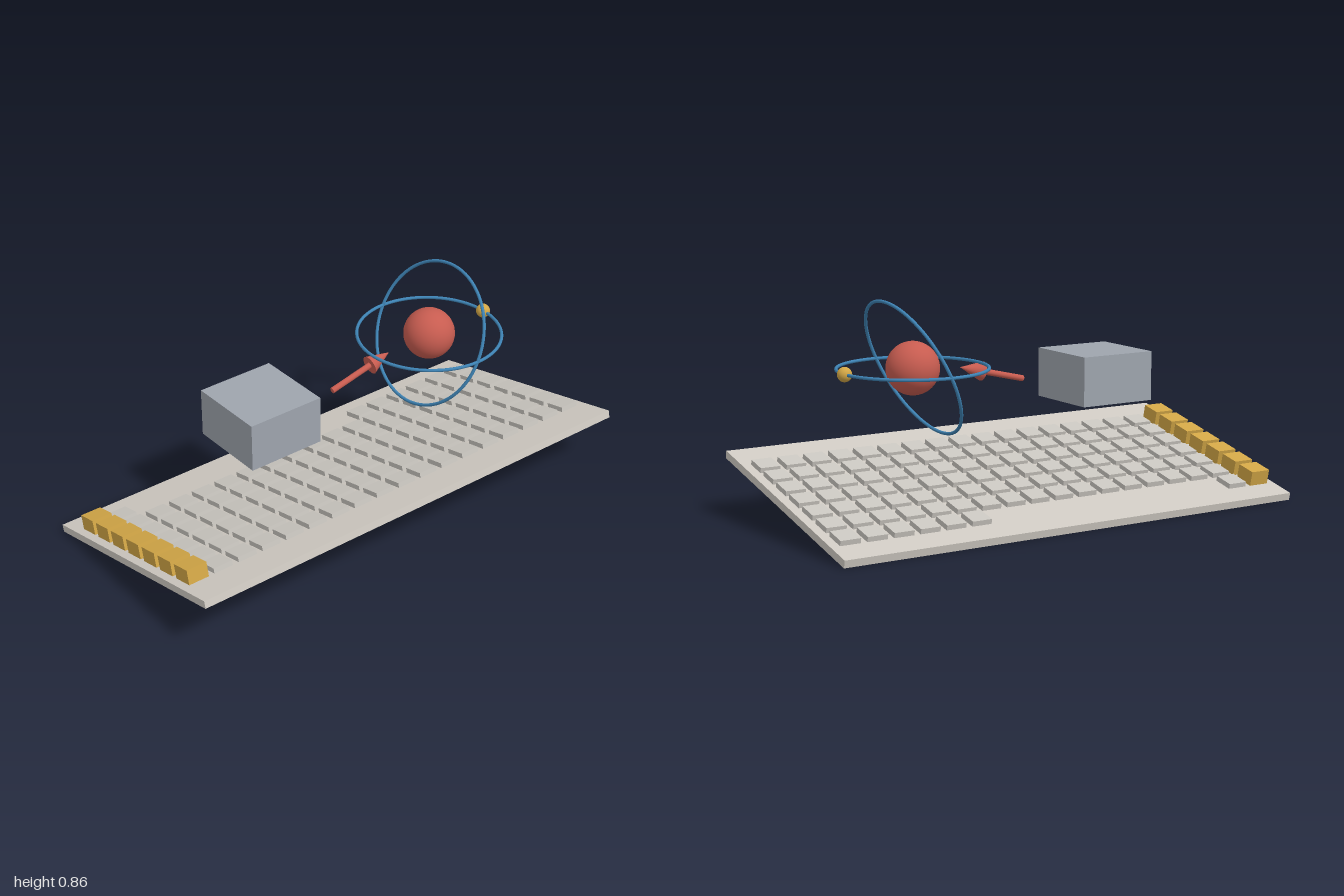
import * as THREE from 'three';

const mat = (name, color) => {
  const m = new THREE.MeshStandardMaterial({ color });
  m.name = name;
  return m;
};

export function createModel() {
  const model = new THREE.Group();
  model.name = 'model';
  const boardGrey = mat('warm grey', 0xcfcac2);
  const keyGrey = mat('key grey', 0xc9c5bf);
  const gold = mat('gold', 0xd2a646);
  const steel = mat('steel grey', 0x9ea4ad);
  const red = mat('red', 0xc75c50);
  const blue = mat('blue', 0x3d82b3);

  const add = (parent, name, geometry, material, x, y, z) => {
    const mesh = new THREE.Mesh(geometry, material);
    mesh.name = name;
    mesh.position.set(x, y, z);
    parent.add(mesh);
    return mesh;
  };

  // Tilted keyboard, raised at the front
  const keyboard = new THREE.Group();
  keyboard.name = 'keyboard';
  keyboard.position.y = 0.126;
  keyboard.rotation.x = -THREE.MathUtils.degToRad(12.8);
  model.add(keyboard);
  add(keyboard, 'board', new THREE.BoxGeometry(2, 0.03, 1), boardGrey, 0, 0, 0);

  // Key grid: tall gold keys in the first column, low keys elsewhere
  const lowKey = new THREE.BoxGeometry(0.082, 0.02, 0.084);
  const tallKey = new THREE.BoxGeometry(0.086, 0.059, 0.085);
  for (let row = 0; row < 7; row++) {
    for (let col = 0; col < 18; col++) {
      if (row === 0 && col > 1 && col < 12) continue; // gap in the back row
      const x = -0.9223 + col * 0.1085;
      const z = -0.35 + row * 0.11;
      if (col === 0) add(keyboard, 'goldKey', tallKey, gold, x, 0.0445, z);
      else add(keyboard, 'key', lowKey, keyGrey, x, 0.025, z);
    }
  }

  // Floating block
  add(model, 'block', new THREE.BoxGeometry(0.32, 0.195, 0.323), steel, -0.359, 0.5065, -0.038);

  // Arrow pointing from the block to the atom
  const arrow = new THREE.Group();
  arrow.name = 'arrow';
  arrow.position.set(-0.04, 0.511, -0.006);
  arrow.rotation.z = Math.atan2(0.067, 0.283) - Math.PI / 2;
  model.add(arrow);
  add(arrow, 'arrowShaft', new THREE.CylinderGeometry(0.012, 0.012, 0.195, 20), red, 0, 0.0975, 0);
  add(arrow, 'arrowHead', new THREE.ConeGeometry(0.038, 0.1, 24), red, 0, 0.192 + 0.05, 0);

  // Atom with two orbits and one electron
  const atom = new THREE.Group();
  atom.name = 'atom';
  atom.position.set(0.45, 0.592, -0.005);
  model.add(atom);
  add(atom, 'nucleus', new THREE.SphereGeometry(0.103, 32, 24), red, 0, 0, 0);
  const ring = new THREE.TorusGeometry(0.288, 0.0065, 12, 80).rotateX(Math.PI / 2);
  add(atom, 'flatOrbit', ring, blue, 0, 0, 0);
  add(atom, 'tiltedOrbit', ring, blue, 0, 0, 0).rotation.z = THREE.MathUtils.degToRad(64.3);
  add(atom, 'electron', new THREE.SphereGeometry(0.0285, 24, 16), gold, 0.288, 0, 0);

  return model;
}
